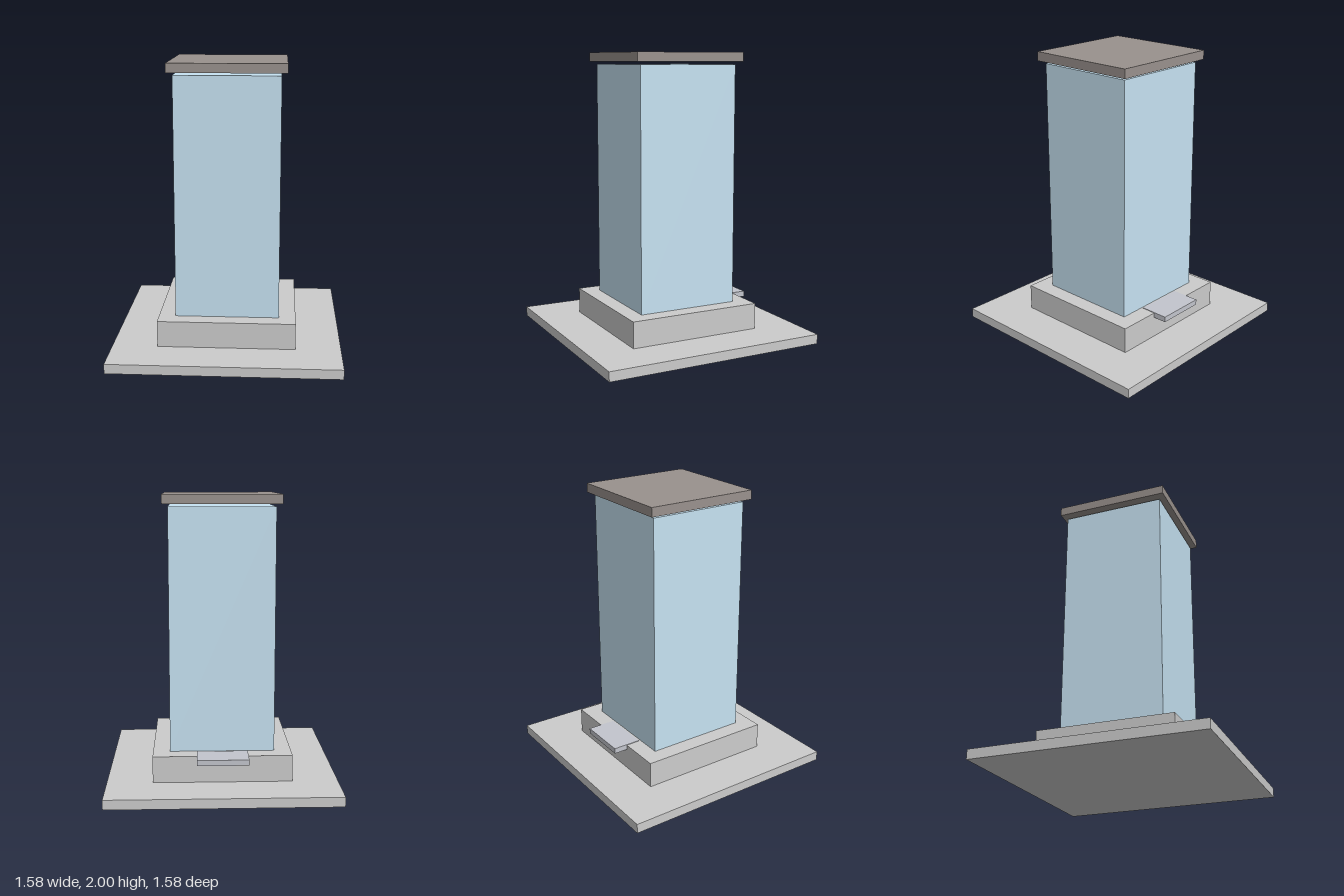
import * as THREE from 'three';

export function createModel() {
  const model = new THREE.Group();
  const grey = new THREE.MeshStandardMaterial({ color: 0xcccccc });
  const glass = new THREE.MeshStandardMaterial({ color: 0xc6e2f2 });
  const dark = new THREE.MeshStandardMaterial({ color: 0x99918d });
  const pale = new THREE.MeshStandardMaterial({ color: 0xc3c5cd });

  // Box from its bottom and top heights, centred on x and on the given z
  function block(name, width, depth, bottom, top, material, z = 0) {
    const mesh = new THREE.Mesh(new THREE.BoxGeometry(width, top - bottom, depth), material);
    mesh.name = name;
    mesh.position.set(0, (bottom + top) / 2, z);
    model.add(mesh);
  }

  block('groundSlab', 1.575, 1.575, 0, 0.067, grey);
  block('podium', 0.95, 0.95, 0.067, 0.25, grey);
  block('tower', 0.718, 0.718, 0.25, 1.918, glass);
  // Roof slab floats just clear of the tower
  block('roofSlab', 0.795, 0.795, 1.937, 2, dark);
  // Entrance canopy at the back, sunk into the podium
  block('entranceCanopy', 0.35, 0.2, 0.215, 0.254, pale, -0.473);

  return model;
}
